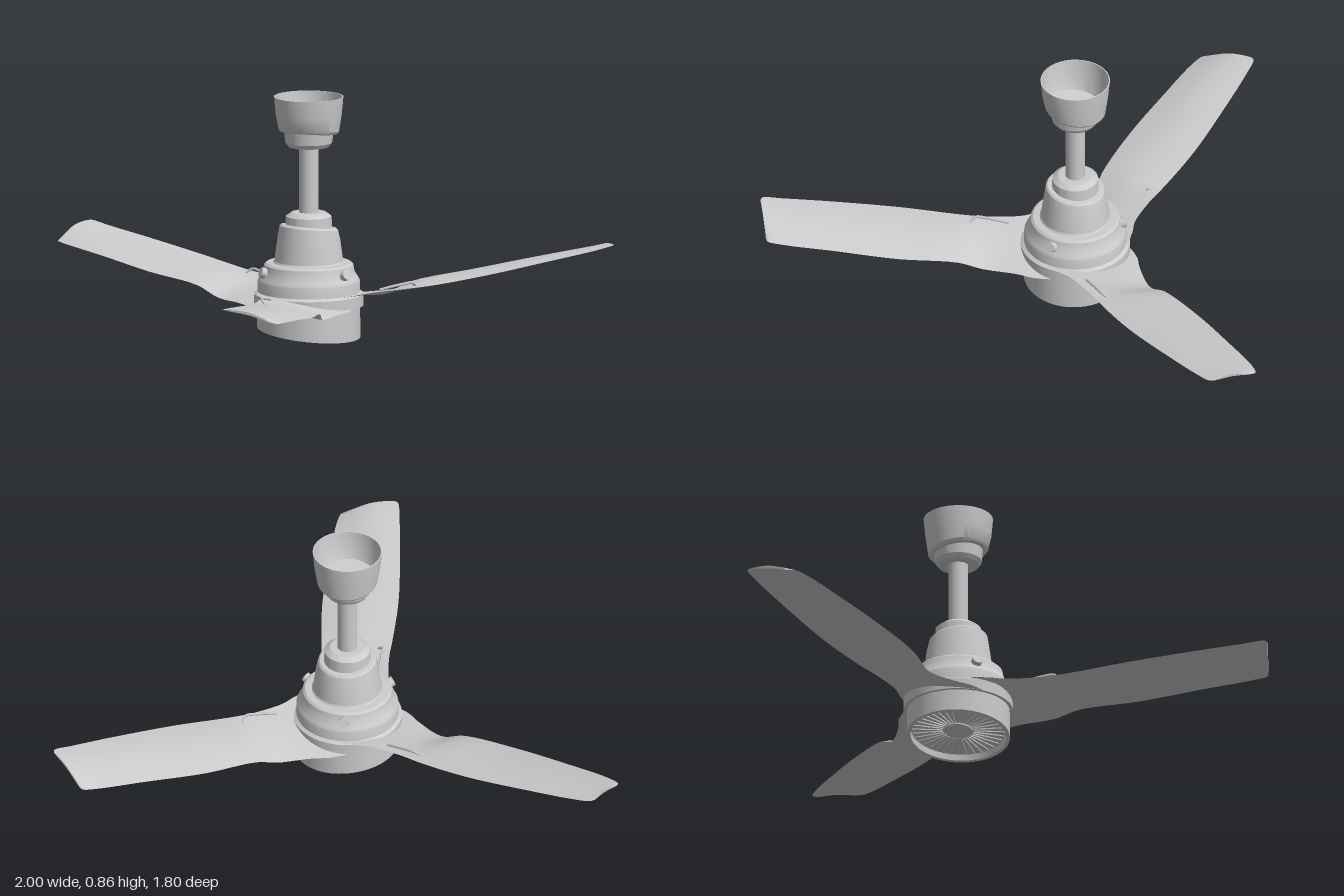
import * as THREE from 'three';
import { toCreasedNormals } from 'three/addons/utils/BufferGeometryUtils.js';

const grey = new THREE.MeshStandardMaterial({ color: 0xcccccc, side: THREE.DoubleSide });

function part(parent, name, geometry) {
  const mesh = new THREE.Mesh(geometry, grey);
  mesh.name = name;
  parent.add(mesh);
  return mesh;
}

// Shift the vertices between two heights along a slanted plane
function tilt(geometry, yMin, yMax, slopeX, slopeZ) {
  const p = geometry.attributes.position;
  for (let i = 0; i < p.count; i++) {
    const y = p.getY(i);
    if (y >= yMin && y <= yMax) p.setY(i, y + slopeX * p.getX(i) + slopeZ * p.getZ(i));
  }
  return geometry;
}

function lathe(profile, ...tilts) {
  const g = new THREE.LatheGeometry(profile.map(([r, y]) => new THREE.Vector2(r, y)), 64);
  tilts.forEach((t) => tilt(g, ...t));
  return toCreasedNormals(g, 0.45);
}

// Edge rail points are [sideways, height, distance from the hub axis]
const rail = (points) =>
  new THREE.CatmullRomCurve3(points.map(([t, y, r]) => new THREE.Vector3(t, y, -r)), false, 'centripetal');

const lowEdge = rail([
  [-0.18, 0.118, 0.08], [-0.175, 0.118, 0.14], [-0.155, 0.118, 0.2], [-0.135, 0.12, 0.32], [-0.148, 0.155, 0.41],
  [-0.172, 0.18, 0.62], [-0.176, 0.21, 0.85], [-0.176, 0.23, 1.03], [-0.166, 0.235, 1.083], [-0.15, 0.238, 1.09],
]);
const highEdge = rail([
  [0.17, 0.165, 0.08], [0.15, 0.168, 0.14], [0.123, 0.17, 0.2], [0.106, 0.175, 0.32], [0.105, 0.182, 0.42],
  [0.1, 0.208, 0.62], [0.072, 0.245, 0.87], [0.047, 0.27, 1.04], [0.032, 0.283, 1.11], [0.015, 0.283, 1.118],
]);

// Thin cambered blade lofted between the two rails
function bladeGeometry() {
  const stations = 45, across = 10, ring = across * 2;
  const positions = [], index = [];
  for (let i = 0; i <= stations; i++) {
    const u = i / stations;
    const a = lowEdge.getPoint(u), b = highEdge.getPoint(u);
    const camber = 0.014 * Math.min(1, u * 2);
    const thickness = i === stations ? 0 : 0.01;
    for (let j = 0; j < ring; j++) {
      const top = j <= across;
      const s = (top ? j : ring - j) / across;
      const bulge = Math.sin(Math.PI * s);
      const p = a.clone().lerp(b, s);
      p.y += camber * bulge - (top ? 0 : thickness * Math.sqrt(bulge));
      positions.push(p.x, p.y, p.z);
    }
  }
  for (let i = 0; i < stations; i++) {
    for (let j = 0; j < ring; j++) {
      const a = i * ring + j, b = i * ring + ((j + 1) % ring);
      index.push(a, b, a + ring, b, b + ring, a + ring);
    }
  }
  const g = new THREE.BufferGeometry();
  g.setAttribute('position', new THREE.Float32BufferAttribute(positions, 3));
  g.setIndex(index);
  return toCreasedNormals(g, 0.8);
}

export function createModel() {
  const fan = new THREE.Group();
  fan.name = 'ceilingFan';
  const hub = new THREE.Group();
  hub.name = 'hub';
  hub.position.set(-0.02, 0, 0.218);
  fan.add(hub);

  // Motor housing with its slanted lower rim and recessed underside
  part(hub, 'motorHousing', lathe([
    [0, 0.045], [0.168, 0.042], [0.17, 0.02], [0.183, 0.02], [0.182, 0.13], [0.181, 0.205], [0.176, 0.215],
    [0.163, 0.235], [0.158, 0.262], [0.15, 0.269], [0.126, 0.27], [0.122, 0.276],
    [0.112, 0.35], [0.104, 0.393], [0.098, 0.399], [0.083, 0.4],
    [0.081, 0.435], [0.062, 0.449], [0.034, 0.45],
  ], [0, 0.1, -0.035, -0.102], [0.39, 0.41, -0.11, 0]));

  // Fine radial ribs on the underside
  const ribs = new THREE.Group();
  ribs.name = 'undersideRibs';
  hub.add(ribs);
  for (let i = 0; i < 36; i++) {
    const rib = new THREE.BoxGeometry(0.11, 0.005, 0.004).translate(0.11, 0.041, 0);
    rib.rotateY((i / 36) * Math.PI * 2);
    part(ribs, 'rib', tilt(rib, 0, 0.1, -0.035, -0.102));
  }
  part(ribs, 'undersideCap', tilt(new THREE.CylinderGeometry(0.05, 0.05, 0.006, 32).translate(0, 0.041, 0), 0, 0.1, -0.035, -0.102));

  part(hub, 'bladeRing', lathe([[0.178, 0.117], [0.194, 0.117], [0.194, 0.158], [0.178, 0.168]]));
  part(hub, 'downRod', new THREE.CylinderGeometry(0.035, 0.035, 0.28, 32, 1, true).translate(0, 0.57, 0));

  // Open-topped ceiling cup
  part(hub, 'canopy', lathe([
    [0.034, 0.685], [0.072, 0.685], [0.083, 0.7], [0.087, 0.731], [0.1, 0.733], [0.107, 0.742],
    [0.117, 0.8], [0.123, 0.865], [0.119, 0.865], [0.113, 0.8], [0.1, 0.748], [0.034, 0.745],
  ], [0.73, 0.75, -0.12, 0.05]));

  // Three blades, each with a root ridge, and the clips between them
  const blade = bladeGeometry();
  const ridge = new THREE.TubeGeometry(new THREE.CatmullRomCurve3([
    new THREE.Vector3(0.078, 0.172, -0.24),
    new THREE.Vector3(0.08, 0.188, -0.32),
    new THREE.Vector3(0.078, 0.192, -0.36),
    new THREE.Vector3(0.062, 0.176, -0.375),
  ]), 12, 0.005, 6);
  for (let k = 0; k < 3; k++) {
    const arm = new THREE.Group();
    arm.name = 'bladeArm';
    arm.rotation.y = (k * Math.PI * 2) / 3;
    hub.add(arm);
    part(arm, 'blade', blade);
    part(arm, 'bladeRidge', ridge);

    const clip = part(arm, 'clip', new THREE.CylinderGeometry(0.018, 0.02, 0.03, 16));
    clip.position.set(0.01, 0.238, 0.166);
    clip.rotation.x = 1.2;
  }
  return fan;
}
